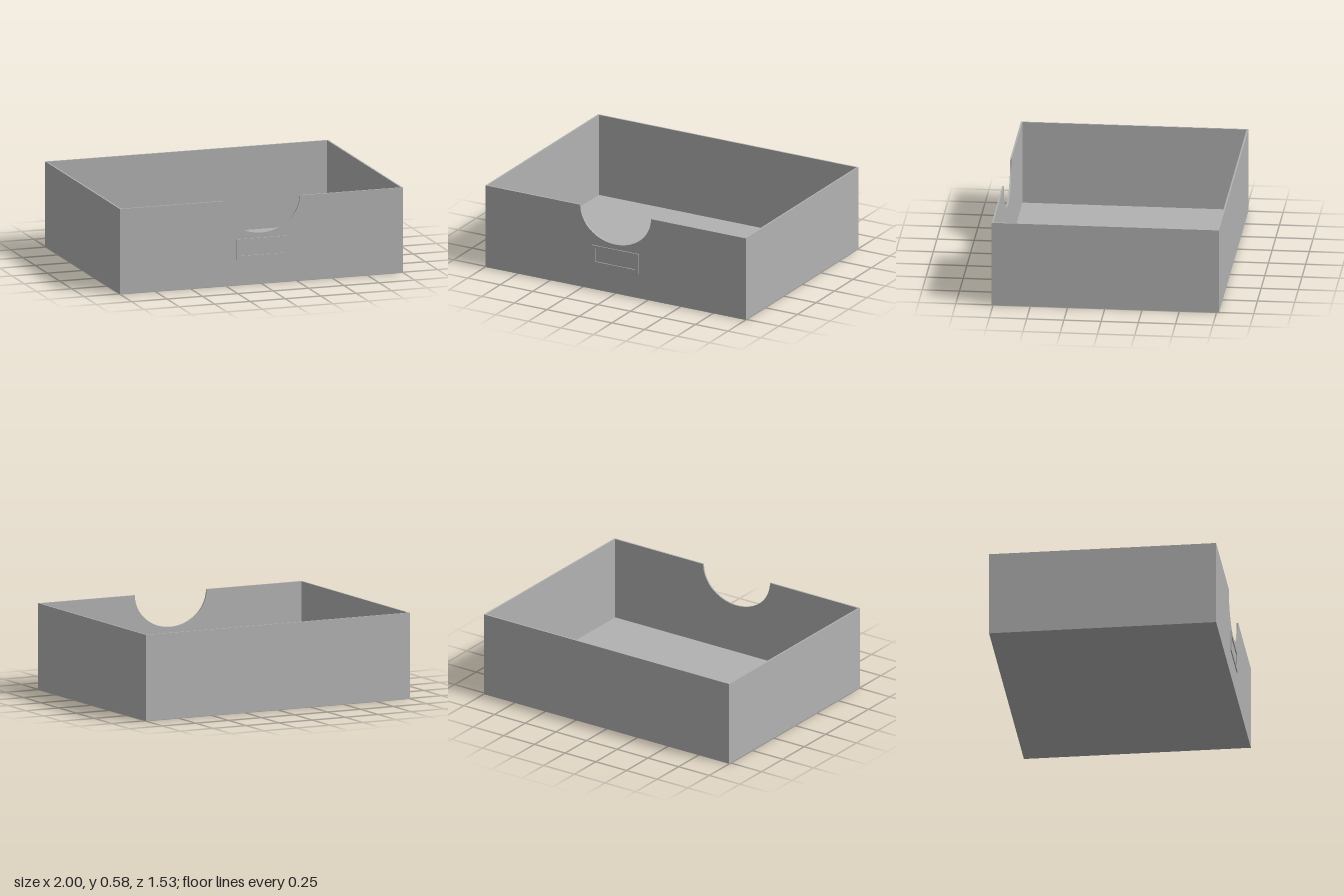
import * as THREE from 'three';

const W = 2, H = 0.583, BACK = -0.767, FRONT = 0.76, T = 0.011;
const FACE = 0.767; // front of the label holder

const grey = new THREE.MeshStandardMaterial({ color: 0xb2b2b2 });
grey.name = 'grey';

function add(group, name, geometry, x = 0, y = 0, z = 0) {
  const mesh = new THREE.Mesh(geometry, grey);
  mesh.name = name;
  mesh.position.set(x, y, z);
  group.add(mesh);
}

// Closed rectangular outline centred on x = 0
function rectangle(Type, halfWidth, bottom, top) {
  return new Type([
    new THREE.Vector2(-halfWidth, bottom), new THREE.Vector2(halfWidth, bottom),
    new THREE.Vector2(halfWidth, top), new THREE.Vector2(-halfWidth, top),
  ]);
}

function extrude(shape, depth) {
  return new THREE.ExtrudeGeometry(shape, { depth, bevelEnabled: false, curveSegments: 40 });
}

export function createModel() {
  const tray = new THREE.Group();
  tray.name = 'drawer';
  const innerDepth = FRONT - BACK - 2 * T;
  const midZ = (FRONT + BACK) / 2;

  // Floor, back wall and side walls
  add(tray, 'floor', new THREE.BoxGeometry(W - 2 * T, T, innerDepth), 0, T / 2, midZ);
  add(tray, 'backWall', new THREE.BoxGeometry(W, H, T), 0, H / 2, BACK + T / 2);
  for (const [name, side] of [['leftWall', 1], ['rightWall', -1]]) {
    add(tray, name, new THREE.BoxGeometry(T, H, innerDepth), side * (W - T) / 2, H / 2, midZ);
  }

  // Front wall with the rounded finger cutout
  const front = new THREE.Shape();
  front.moveTo(-W / 2, 0);
  front.lineTo(W / 2, 0);
  front.lineTo(W / 2, H);
  front.lineTo(0.272, H);
  front.absellipse(0, H, 0.272, 0.234, 0, Math.PI, true);
  front.lineTo(-W / 2, H);
  front.closePath();
  add(tray, 'frontWall', extrude(front, T), 0, 0, FRONT - T);

  // Open label holder below the cutout
  const frame = rectangle(THREE.Shape, 0.18, 0.175, 0.315);
  frame.holes.push(rectangle(THREE.Path, 0.152, 0.2, 0.294));
  add(tray, 'labelFrame', extrude(frame, FACE - FRONT), 0, 0, FRONT);

  return tray;
}
